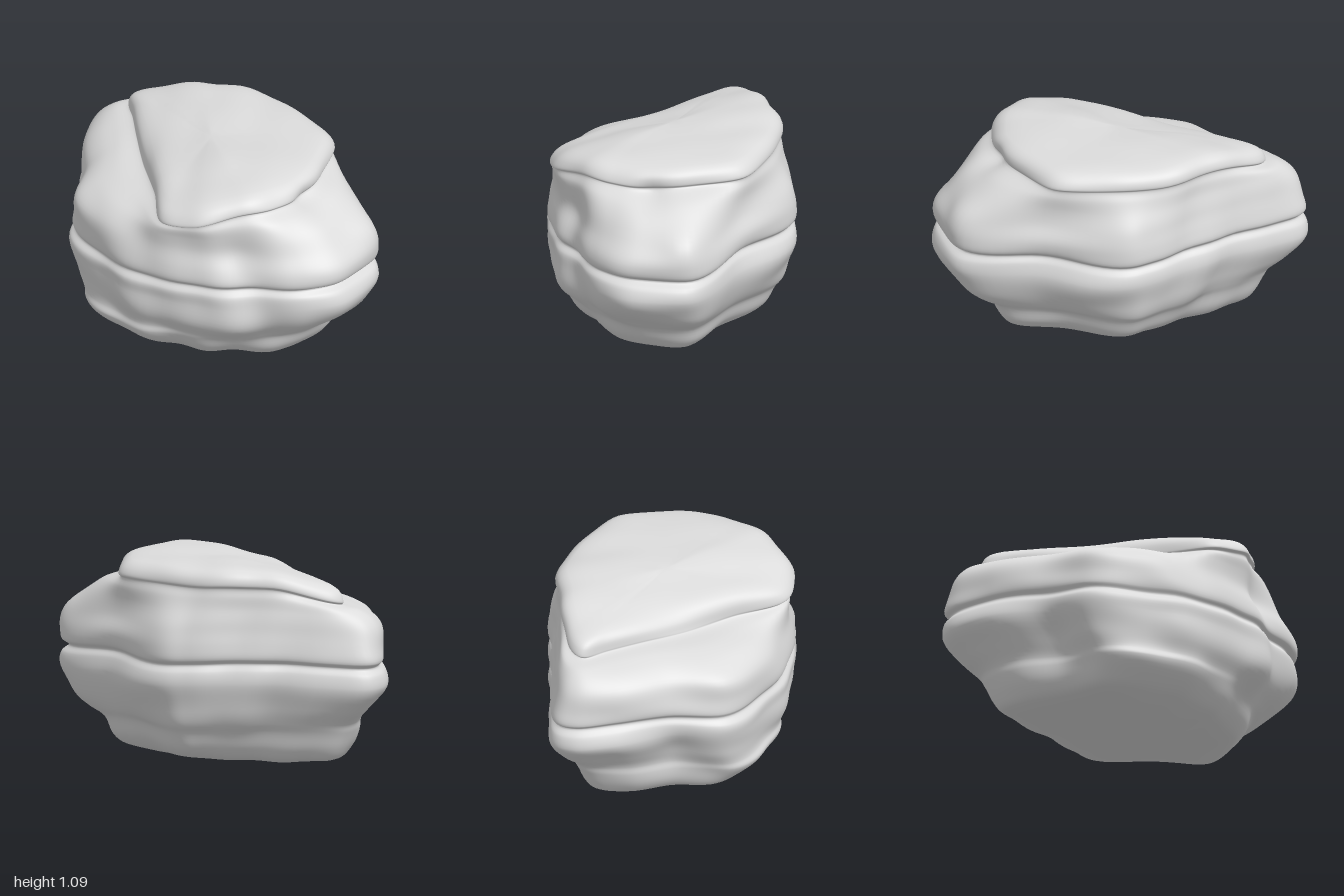
import * as THREE from 'three';
import { mergeVertices } from 'three/addons/utils/BufferGeometryUtils.js';

// Plan outlines [x, z], running from the left side round the front; points correspond
const BODY = [[0.99, -0.08], [0.93, 0.13], [0.74, 0.31], [0.53, 0.49], [0.2, 0.64], [-0.17, 0.675],
  [-0.46, 0.59], [-0.65, 0.35], [-0.87, 0.16], [-0.99, -0.04], [-0.93, -0.2], [-0.5, -0.42],
  [-0.15, -0.62], [0.06, -0.67], [0.5, -0.52], [0.9, -0.38]];
const CAP = [[0.68, -0.03], [0.66, 0.15], [0.6, 0.32], [0.46, 0.52], [0.24, 0.57], [0, 0.4],
  [-0.25, 0.26], [-0.45, 0.11], [-0.65, -0.02], [-0.77, -0.1], [-0.72, -0.2], [-0.5, -0.37],
  [-0.18, -0.55], [0.1, -0.56], [0.4, -0.51], [0.56, -0.28]];

// Rings: [blend body to cap, y, scale toward -x, +x, back, front]
const RINGS = [
  [0, 0, 0, 0, 0, 0], [0, 0.008, 0.35, 0.35, 0.35, 0.35],
  [0, 0.04, 0.67, 0.63, 0.62, 0.74], [0, 0.1, 0.73, 0.69, 0.75, 0.86],
  [0, 0.19, 0.77, 0.73, 0.82, 0.95], [0, 0.24, 0.79, 0.8, 0.89, 0.94],
  [0, 0.33, 0.89, 0.92, 0.95, 0.96], [0, 0.45, 1, 1, 1.01, 0.98],
  [0, 0.525, 0.98, 0.99, 0.99, 1], [0, 0.565, 0.94, 0.945, 0.955, 0.965],
  [0, 0.595, 0.97, 0.99, 1, 0.985], [0, 0.67, 0.96, 0.99, 1.01, 0.98],
  [0, 0.76, 0.93, 0.93, 0.97, 0.96], [0.25, 0.85, 0.94, 0.93, 0.95, 0.96],
  [0.62, 0.92, 0.98, 0.96, 0.96, 0.97], [0.96, 0.968, 0.975, 0.975, 0.97, 0.97],
  [1, 0.985, 1, 1.005, 0.995, 1.005], [1, 1.03, 0.97, 0.98, 0.97, 0.97],
  [1, 1.065, 0.86, 0.9, 0.89, 0.85], [1, 1.078, 0.5, 0.5, 0.5, 0.5], [1, 1.072, 0, 0, 0, 0],
];

// Local hollows (negative) and bulges (positive): [x, y, z, radius, amount]
const LUMPS = [
  [0.7, 0.93, -0.08, 0.13, -0.05], [-0.62, 0.32, 0.4, 0.18, -0.06], [-0.5, 0.15, 0.55, 0.14, -0.05],
  [0.56, 0.3, 0.42, 0.22, 0.05], [0.62, 0.75, 0.4, 0.18, -0.03], [0.05, 0.35, 0.66, 0.2, 0.015],
  [0.88, 0.78, -0.32, 0.15, 0.03], [0.3, 0.1, 0.5, 0.2, -0.03], [-0.35, 0.25, -0.45, 0.2, 0.02],
];

const COLS = 128, STEPS = 5;

// The cap tilts down toward its front right edge, where it thins into the shelf
function capDip(x, z) {
  const d = (x - 0.22) * -0.564 + (z - 0.57) * 0.826;
  return 0.09 * THREE.MathUtils.smoothstep(d, -0.42, 0.02);
}

function ringCurve([t, y, l, r, b, f]) {
  const pts = BODY.map(([bx, bz], i) => {
    const x = (bx + (CAP[i][0] - bx) * t) * (bx < 0 ? l : r);
    const z = (bz + (CAP[i][1] - bz) * t) * (bz < 0 ? b : f);
    return new THREE.Vector3(x, y - t * capDip(x, z), z);
  });
  return new THREE.CatmullRomCurve3(pts, true, 'catmullrom', 0.45);
}

// Lumpy weathering, flattened into horizontal strata
function weather(p) {
  const out = new THREE.Vector3(p.x, (p.y - 0.54) * 0.4, p.z).normalize();
  let d = 0.01 * Math.sin(9 * p.x + 4 * p.y + 1) * Math.sin(10 * p.z - 5 * p.y)
    + 0.006 * Math.sin(17 * p.x - 13 * p.z + 6 * p.y)
    + 0.005 * Math.sin(24 * p.y + 5 * p.x + 7 * p.z);
  d *= Math.min(1, Math.hypot(p.x, p.z) / 0.4);
  for (const [x, y, z, rad, amount] of LUMPS) {
    const q = ((p.x - x) ** 2 + (p.y - y) ** 2 + (p.z - z) ** 2) / (rad * rad);
    d += amount * Math.exp(-2 * q);
  }
  p.addScaledVector(out, d);
  // Wavering seam height, sagging at the front
  const sag = 0.045 * Math.exp(-((p.x + 0.1) ** 2 + (p.z - 0.65) ** 2) / 0.15);
  const wave = 0.01 * Math.sin(7 * p.x + 3 * p.z);
  p.y += (wave - sag) * Math.sin(Math.PI * THREE.MathUtils.clamp(p.y, 0, 1));
  return p;
}

function rockGeometry() {
  const curves = RINGS.map(ringCurve);
  const rows = (RINGS.length - 1) * STEPS;
  const position = [], index = [];
  for (let c = 0; c < COLS; c++) {
    const column = new THREE.CatmullRomCurve3(curves.map(k => k.getPoint(c / COLS)), false, 'centripetal');
    for (let i = 0; i <= rows; i++) {
      const p = weather(column.getPoint(i / rows));
      position.push(p.x, p.y, p.z);
    }
  }
  const at = (c, i) => (c % COLS) * (rows + 1) + i;
  for (let c = 0; c < COLS; c++) {
    for (let i = 0; i < rows; i++) {
      const a = at(c, i), up = at(c, i + 1), next = at(c + 1, i), both = at(c + 1, i + 1);
      if (i < rows - 1) index.push(a, up, both);
      else index.push(a, up, next);
      if (i > 0 && i < rows - 1) index.push(a, both, next);
    }
  }
  const g = new THREE.BufferGeometry();
  g.setAttribute('position', new THREE.Float32BufferAttribute(position, 3));
  g.setIndex(index);
  const merged = mergeVertices(g, 1e-5);
  merged.computeVertexNormals();
  return merged;
}

export function createModel() {
  const stone = new THREE.MeshStandardMaterial({ color: 0xdcdcdc });
  stone.name = 'pale grey stone';
  const rock = new THREE.Mesh(rockGeometry(), stone);
  rock.name = 'layeredRock';
  const group = new THREE.Group();
  group.name = 'boulder';
  group.add(rock);
  return group;
}
